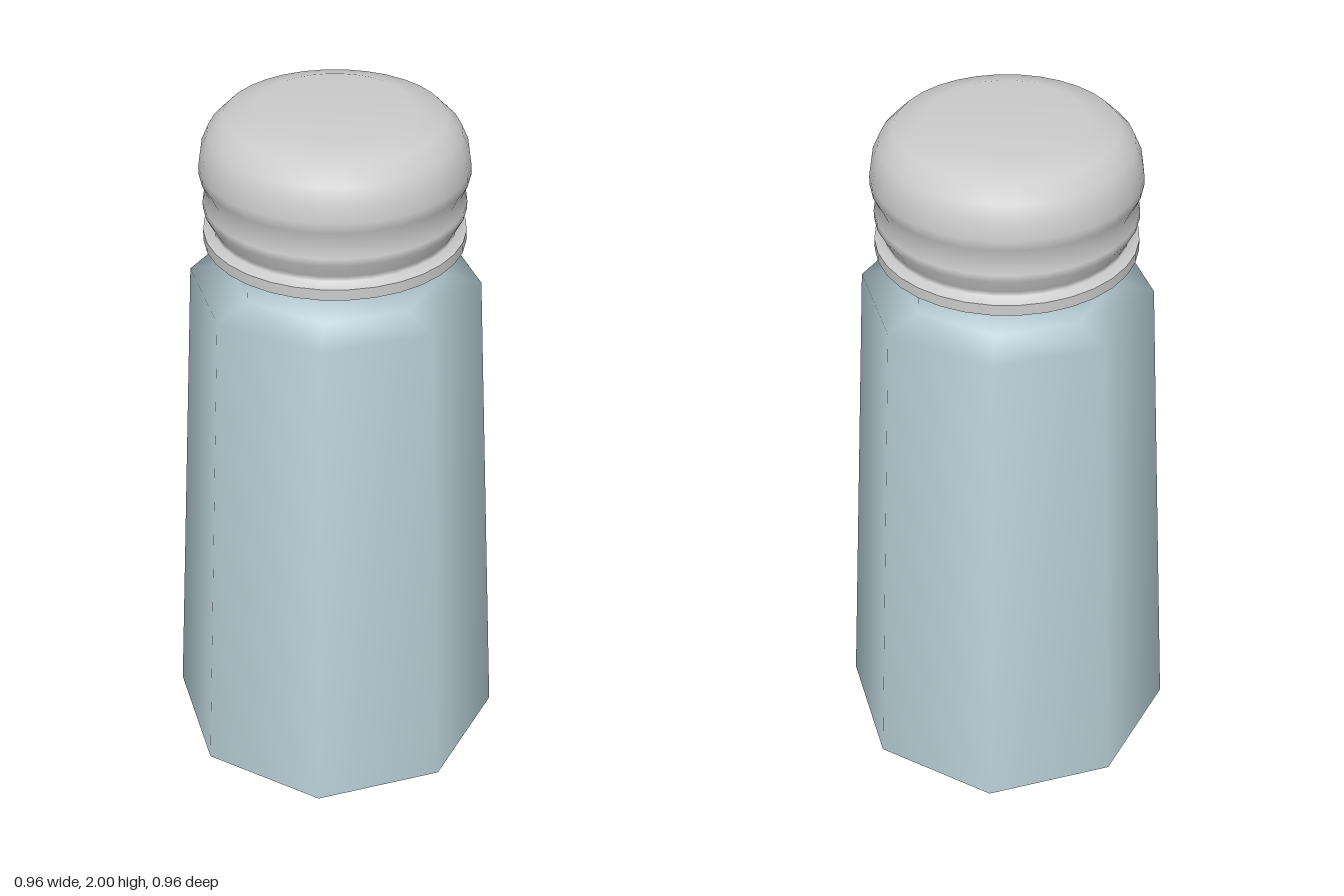
import * as THREE from 'three';

// Turned part from [radius, height] points, bottom to top.
// A repeated point makes a sharp edge.
function turned(name, profile, sides, color) {
  const points = profile.map(([r, y]) => new THREE.Vector2(r, y));
  const mesh = new THREE.Mesh(
    new THREE.LatheGeometry(points, sides),
    new THREE.MeshStandardMaterial({ color })
  );
  mesh.name = name;
  return mesh;
}

export function createModel() {
  const group = new THREE.Group();
  group.name = 'shaker';

  // Eight-sided tapered glass with bevelled foot, shoulder and neck
  group.add(turned('glassBody', [
    [0, 0], [0.43, 0], [0.43, 0],
    [0.48, 0.04],
    [0.39, 1.51],
    [0.29, 1.535],
    [0.29, 1.65],
  ], 8, 0xb9d0d8));

  // Round metal cap: flat underside, rim, thread bulge and domed top
  group.add(turned('cap', [
    [0.25, 1.635], [0.345, 1.635], [0.345, 1.635],
    [0.345, 1.665], [0.345, 1.665],
    [0.32, 1.675], [0.322, 1.69],
    [0.343, 1.73], [0.343, 1.75],
    [0.332, 1.785],
    [0.35, 1.825], [0.35, 1.85],
    [0.343, 1.895], [0.325, 1.935], [0.285, 1.975],
    [0.2, 2], [0, 2],
  ], 32, 0xcccccc));

  return group;
}
